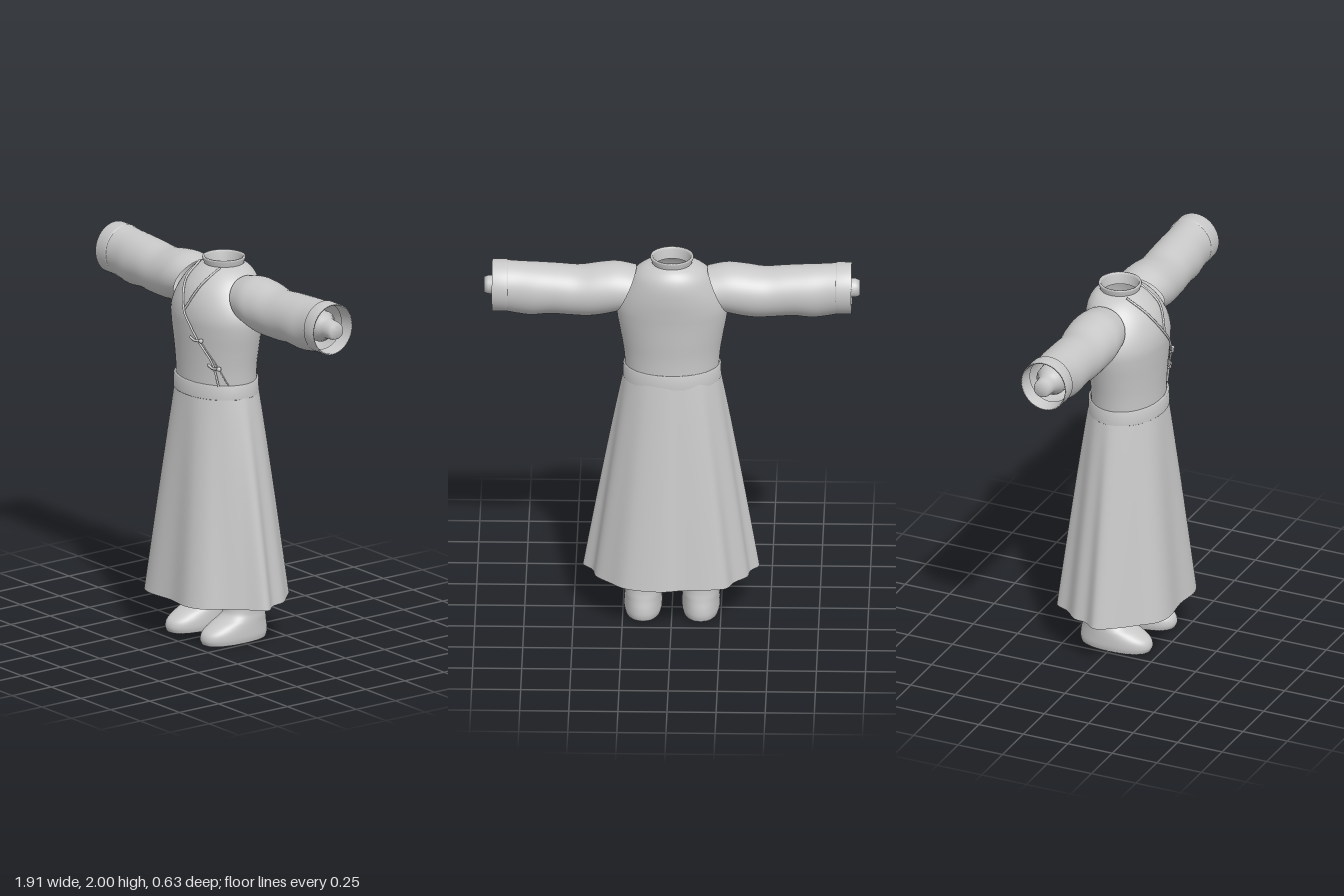
import * as THREE from 'three';

const cloth = new THREE.MeshStandardMaterial({ color: 0xc8c8c8, side: THREE.DoubleSide });
cloth.name = 'grey cloth';

function mesh(name, geometry) {
  const m = new THREE.Mesh(geometry, cloth);
  m.name = name;
  return m;
}

// Surface through closed rings of [x, y, z] points
function loft(rings) {
  const n = rings[0].length, index = [];
  for (let j = 0; j < rings.length - 1; j++) {
    for (let i = 0; i < n; i++) {
      const k = (i + 1) % n;
      const a = j * n + i, b = j * n + k, c = a + n, d = b + n;
      index.push(a, b, d, a, d, c);
    }
  }
  const g = new THREE.BufferGeometry();
  g.setAttribute('position', new THREE.Float32BufferAttribute(rings.flat(2), 3));
  g.setIndex(index);
  g.computeVertexNormals();
  return g;
}

// Smoothly resample a list of key rows
function smooth(keys, count) {
  const size = keys[0].length;
  const spline = new THREE.CubicInterpolant(keys.map((_, i) => i), keys.flat(), size, new Float32Array(size));
  return Array.from({ length: count + 1 }, (_, i) =>
    Array.from(spline.evaluate((i / count) * (keys.length - 1))));
}

const angles = Array.from({ length: 48 }, (_, i) => (i / 48) * Math.PI * 2);
const power = (v, e) => Math.sign(v) * Math.abs(v) ** e;

// Upright body from rows of [y, half width, front z, back z]
function upright(rows, e = 1, cx = 0) {
  return loft(rows.map(([y, w, f, b]) => angles.map((a) => [
    cx + w * power(Math.sin(a), e), y, (f + b) / 2 + ((f - b) / 2) * power(Math.cos(a), e)])));
}

// Sideways tube from rows of [x, top y, bottom y, front z, back z]
function sideways(rows, slant = 0) {
  return loft(rows.map(([x, t, b, f, k], j) => angles.map((a) => [
    x - slant * Math.cos(a) * (1 - j / (rows.length - 1)),
    (t + b) / 2 + ((t - b) / 2) * Math.cos(a),
    (f + k) / 2 + ((f - k) / 2) * Math.sin(a)])));
}

function cord(name, points, r) {
  const curve = new THREE.CatmullRomCurve3(points.map((p) => new THREE.Vector3(...p)));
  return mesh(name, new THREE.TubeGeometry(curve, 30, r, 6));
}

// Flared skirt: a waist ellipse blending into a rippled hem
function skirtGeometry() {
  const hem = [[0, 0.298], [0.15, 0.31], [0.24, 0.27], [0.31, 0.18], [0.38, 0.1], [0.455, 0.02],
    [0.405, -0.05], [0.385, -0.13], [0.32, -0.2], [0.23, -0.28], [0.05, -0.315], [-0.06, -0.295],
    [-0.2, -0.285], [-0.28, -0.265], [-0.32, -0.19], [-0.385, -0.12], [-0.4, -0.05], [-0.445, 0.02],
    [-0.39, 0.12], [-0.32, 0.2], [-0.24, 0.285], [-0.16, 0.31]];
  const curve = new THREE.CatmullRomCurve3(hem.map(([x, z]) => new THREE.Vector3(x, 0, z)), true);
  const outline = curve.getPoints(132).slice(0, -1);
  const rings = [];
  for (let j = 0; j <= 24; j++) {
    const t = 1 - j / 24, s = t ** 0.92;
    rings.push(outline.map((p) => {
      const a = Math.atan2(p.x / 0.45, p.z / 0.315);
      return [THREE.MathUtils.lerp(0.235 * Math.sin(a), p.x, s), 1.38 - 1.15 * t,
        THREE.MathUtils.lerp(0.005 + 0.185 * Math.cos(a), p.z, s)];
    }));
  }
  return loft(rings);
}

// Sleeve, cuff, wrist, trouser leg and boot of the left side
function sideParts(side) {
  const g = new THREE.Group();
  g.name = side + 'Limbs';
  g.add(mesh('sleeve', sideways(smooth([
    [0.235, 1.935, 1.70, 0.095, -0.185], [0.32, 1.953, 1.68, 0.105, -0.188],
    [0.40, 1.948, 1.672, 0.1, -0.185], [0.5, 1.932, 1.675, 0.095, -0.175],
    [0.6, 1.94, 1.68, 0.09, -0.172], [0.7, 1.947, 1.672, 0.088, -0.172],
    [0.78, 1.952, 1.68, 0.08, -0.166], [0.85, 1.957, 1.692, 0.08, -0.166]], 36), 0.055)));
  g.add(mesh('cuff', sideways([
    [0.835, 1.955, 1.694, 0.08, -0.165], [0.84, 1.96, 1.69, 0.085, -0.17],
    [0.915, 1.96, 1.69, 0.085, -0.17], [0.915, 1.952, 1.698, 0.077, -0.162],
    [0.84, 1.945, 1.705, 0.07, -0.155]])));

  const wrist = mesh('wrist', new THREE.LatheGeometry([[0.095, 0.6], [0.08, 0.84], [0.055, 0.87],
    [0.05, 0.9], [0.048, 0.935], [0.04, 0.957], [0, 0.957]].map((p) => new THREE.Vector2(...p)), 32));
  wrist.rotation.z = -Math.PI / 2;
  wrist.position.set(0, 1.825, -0.038);
  g.add(wrist);

  g.add(mesh('trouserLeg', upright(smooth([
    [0.18, 0.09, 0.038, -0.166], [0.28, 0.09, 0.04, -0.16],
    [0.4, 0.088, 0.045, -0.15], [0.6, 0.09, 0.06, -0.14]], 12), 0.95, 0.148)));
  g.add(mesh('boot', upright([[0, 0, 0, 0], ...smooth([
    [0.002, 0.092, 0.195, -0.18], [0.03, 0.098, 0.204, -0.187], [0.065, 0.098, 0.19, -0.185],
    [0.1, 0.096, 0.135, -0.178], [0.125, 0.094, 0.082, -0.174],
    [0.155, 0.092, 0.05, -0.17], [0.22, 0.095, 0.04, -0.168]], 24)], 0.88, 0.147)));
  if (side === 'right') g.scale.x = -1;
  return g;
}

export function createModel() {
  const model = new THREE.Group();
  model.name = 'longRobe';

  model.add(mesh('torso', upright(smooth([
    [1.34, 0.237, 0.188, -0.175], [1.45, 0.246, 0.19, -0.176], [1.55, 0.262, 0.195, -0.184],
    [1.65, 0.28, 0.202, -0.192], [1.72, 0.283, 0.205, -0.2], [1.79, 0.262, 0.195, -0.207],
    [1.86, 0.225, 0.168, -0.207], [1.91, 0.192, 0.13, -0.195],
    [1.945, 0.15, 0.09, -0.172], [1.965, 0.102, 0.058, -0.145]], 40))));

  // Stand-up collar, folded to the inside
  const collar = mesh('collar', new THREE.LatheGeometry([[0.1, 1.95], [0.101, 1.965], [0.111, 1.992],
    [0.108, 2], [0.1, 2], [0.095, 1.99], [0.088, 1.94]].map((p) => new THREE.Vector2(...p)), 48));
  collar.position.z = -0.042;
  model.add(collar);

  model.add(mesh('belt', upright([
    [1.305, 0.236, 0.188, -0.174], [1.305, 0.25, 0.203, -0.188], [1.307, 0.252, 0.205, -0.19],
    [1.378, 0.25, 0.203, -0.188], [1.38, 0.236, 0.188, -0.174]])));
  model.add(mesh('skirt', skirtGeometry()));

  // Crossed lapel edges and knotted ties
  model.add(cord('lapelEdge', [[-0.095, 1.965, 0.04], [-0.075, 1.89, 0.145], [0, 1.755, 0.214],
    [0.05, 1.69, 0.215], [0.1, 1.61, 0.198], [0.165, 1.5, 0.158], [0.188, 1.38, 0.135]], 0.006));
  model.add(cord('innerLapelEdge', [[0.075, 1.965, 0.04], [0.06, 1.89, 0.15], [0, 1.76, 0.21]], 0.006));
  model.add(cord('flapFold', [[0.1, 1.61, 0.188], [0.17, 1.5, 0.143], [0.213, 1.38, 0.09]], 0.004));
  for (const [x, y, z] of [[0.09, 1.615, 0.208], [0.172, 1.475, 0.155]]) {
    model.add(cord('tie', [[x - 0.035, y + 0.012, z + 0.008], [x, y, z + 0.004],
      [x + 0.035, y + 0.002, z - 0.02]], 0.007));
    const knot = mesh('knot', new THREE.SphereGeometry(0.012, 12, 8));
    knot.position.set(x + 0.03, y, z - 0.012);
    model.add(knot);
  }

  model.add(sideParts('left'), sideParts('right'));
  return model;
}
